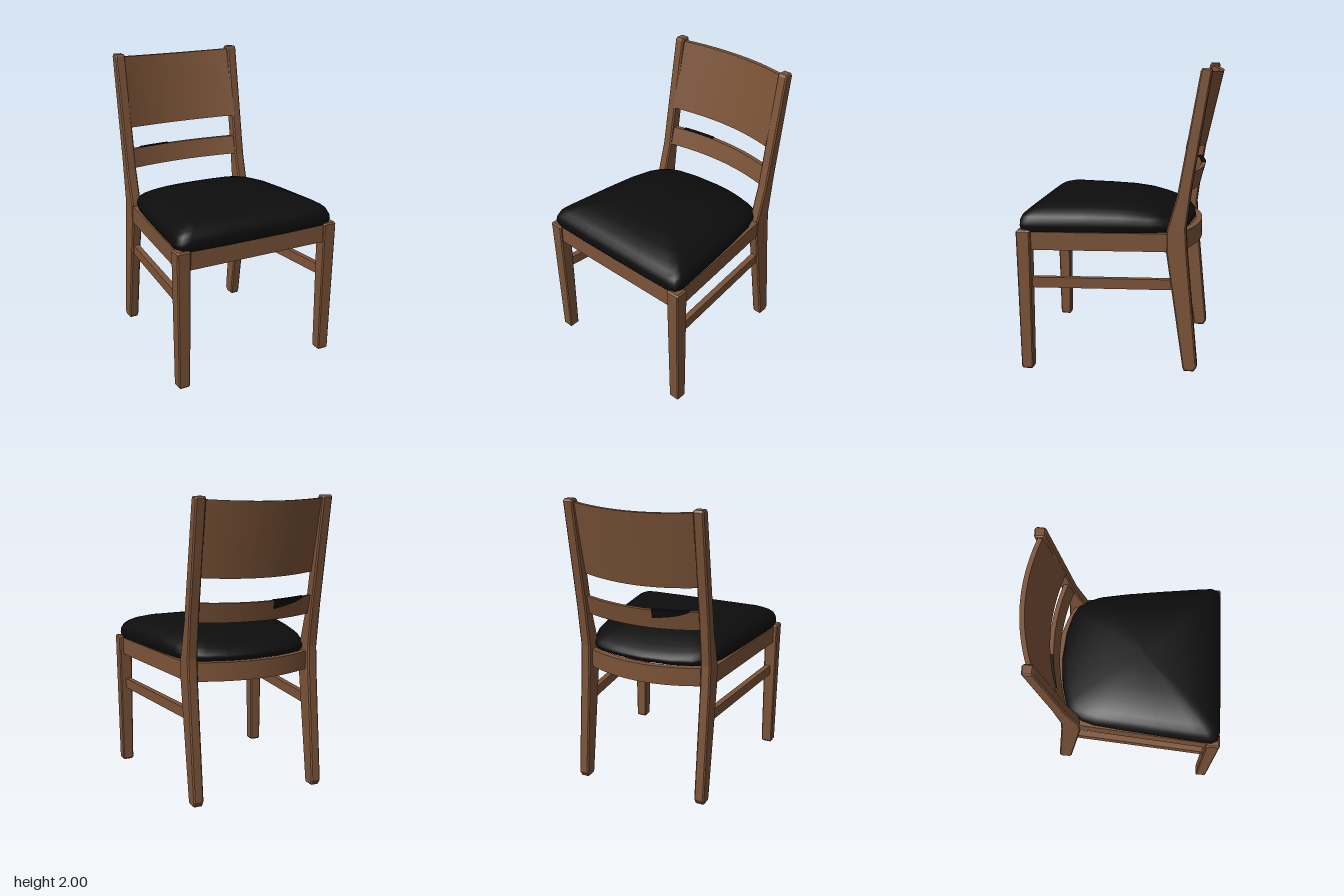
import * as THREE from 'three';

const wood = new THREE.MeshStandardMaterial({ color: 0x7b5337 });
wood.name = 'brown wood';
const fabric = new THREE.MeshStandardMaterial({ color: 0x0d0d0d });
fabric.name = 'black upholstery';

function add(group, name, geometry, material = wood) {
  const mesh = new THREE.Mesh(geometry, material);
  mesh.name = name;
  group.add(mesh);
  return mesh;
}

// Straight bar between two points at the same height
function bar(group, name, [x0, z0], [x1, z1], y, height, width) {
  const mesh = add(group, name, new THREE.BoxGeometry(width, height, Math.hypot(x1 - x0, z1 - z0)));
  mesh.position.set((x0 + x1) / 2, y, (z0 + z1) / 2);
  mesh.rotation.y = Math.atan2(x1 - x0, z1 - z0);
}

// Bows a box backwards along x, leans it by its height and lifts its ends
function bend(geometry, { y, z, halfWidth, bow, lean = 0, lift = 0 }) {
  const p = geometry.attributes.position;
  for (let i = 0; i < p.count; i++) {
    const k = (p.getX(i) / halfWidth) ** 2;
    p.setZ(i, p.getZ(i) + z + bow * k + lean * p.getY(i));
    p.setY(i, p.getY(i) + y + lift * k);
  }
  geometry.computeVertexNormals();
  return geometry;
}

// Square leg with eased edges, narrower at the foot
function frontLegGeometry() {
  const a = 0.0475, c = 0.008, e = 0.01, height = 0.96;
  const shape = new THREE.Shape([
    [a - c, -a], [a, c - a], [a, a - c], [a - c, a],
    [c - a, a], [-a, a - c], [-a, c - a], [c - a, -a],
  ].map(([x, y]) => new THREE.Vector2(x, y)));
  const g = new THREE.ExtrudeGeometry(shape, {
    depth: height - 2 * e, bevelThickness: e, bevelSize: e, bevelOffset: -e, bevelSegments: 1,
  });
  g.rotateX(-Math.PI / 2).translate(0, e, 0);
  const p = g.attributes.position;
  for (let i = 0; i < p.count; i++) {
    const t = p.getY(i) / height, s = 0.82 + 0.18 * t;
    p.setX(i, p.getX(i) * s);
    p.setZ(i, p.getZ(i) * s - 0.007 * (1 - t));
  }
  g.computeVertexNormals();
  return g;
}

// Back leg and back post cut as one angled profile, given as z, y
function backLegGeometry() {
  const e = 0.009, width = 0.07;
  const shape = new THREE.Shape([
    [-0.455, 0.008], [-0.52, 0.008], [-0.54, 0.04], [-0.465, 0.82], [-0.455, 0.98],
    [-0.49, 1.27], [-0.602, 1.985], [-0.594, 2], [-0.54, 2], [-0.53, 1.985],
    [-0.395, 1.2], [-0.328, 0.96], [-0.328, 0.82], [-0.445, 0.03],
  ].map(([z, y]) => new THREE.Vector2(z, y)));
  const g = new THREE.ExtrudeGeometry(shape, {
    depth: width - 2 * e, bevelThickness: e, bevelSize: e, bevelOffset: -e, bevelSegments: 1,
  });
  return g.rotateY(-Math.PI / 2).translate(width / 2 - e, 0, 0);
}

// Domed cushion: scaled rings of one outline, falling away to the back
function cushionGeometry() {
  const half = [
    [0, 0.643], [0.25, 0.643], [0.5, 0.64], [0.555, 0.625], [0.575, 0.58], [0.568, 0.5],
    [0.535, 0.2], [0.505, -0.05], [0.478, -0.23], [0.45, -0.31], [0.405, -0.385],
    [0.34, -0.425], [0.2, -0.462], [0, -0.48],
  ];
  const outline = half.concat(half.slice(1, -1).reverse().map(([x, z]) => [-x, z]));
  const rings = [
    [0.001, 0.94], [0.965, 0.94], [0.985, 0.955], [1, 0.985], [0.995, 1.015], [0.97, 1.045],
    [0.92, 1.07], [0.84, 1.095], [0.7, 1.12], [0.5, 1.138], [0.25, 1.148], [0.001, 1.15],
  ];
  const n = outline.length, positions = [], index = [], centre = 0.1;
  rings.forEach(([s, y], r) => {
    outline.forEach(([x, z0], i) => {
      const z = centre + (z0 - centre) * s;
      const t = Math.max(0, (centre - z) / 0.58);
      const top = y > 0.95 ? 0.95 + (y - 0.95) * (1 - 0.55 * t * t) : y;
      positions.push(x * s, top, z);
      if (r === 0) return;
      const j = (i + 1) % n, lo = (r - 1) * n, hi = r * n;
      index.push(lo + i, lo + j, hi + j, lo + i, hi + j, hi + i);
    });
  });
  const g = new THREE.BufferGeometry();
  g.setAttribute('position', new THREE.Float32BufferAttribute(positions, 3));
  g.setIndex(index);
  g.computeVertexNormals();
  return g;
}

export function createModel() {
  const chair = new THREE.Group();
  chair.name = 'diningChair';

  // Legs, side aprons and stretchers
  for (const [side, s] of [['left', 1], ['right', -1]]) {
    add(chair, side + 'FrontLeg', frontLegGeometry()).position.set(s * 0.547, 0, 0.597);
    add(chair, side + 'BackLeg', backLegGeometry()).position.x = s * 0.445;
    bar(chair, side + 'Apron', [s * 0.545, 0.57], [s * 0.45, -0.36], 0.885, 0.12, 0.045);
    bar(chair, side + 'Stretcher', [s * 0.535, 0.58], [s * 0.442, -0.4], 0.6, 0.07, 0.04);
  }

  // Front apron and bowed back apron
  bar(chair, 'frontApron', [-0.53, 0.605], [0.53, 0.605], 0.888, 0.124, 0.045);
  add(chair, 'backApron', bend(new THREE.BoxGeometry(0.86, 0.125, 0.045, 28, 1, 1),
    { y: 0.8825, z: -0.5, halfWidth: 0.43, bow: 0.11 }));

  // Backrest panel and lower rail
  add(chair, 'backPanel', bend(new THREE.BoxGeometry(0.84, 0.485, 0.03, 28, 1, 1),
    { y: 1.725, z: -0.583, halfWidth: 0.42, bow: 0.075, lean: -0.22, lift: 0.014 }));
  const rail = { y: 1.263, z: -0.505, halfWidth: 0.42, bow: 0.07, lean: -0.25, lift: 0.01 };
  add(chair, 'lowerRail', bend(new THREE.BoxGeometry(0.84, 0.13, 0.03, 28, 1, 1), rail));

  // Dark patch on the top and back of the lower rail
  const top = new THREE.BoxGeometry(0.24, 0.006, 0.03, 8, 1, 1).translate(-0.22, 0.067, 0);
  add(chair, 'railTopPatch', bend(top, rail), fabric);
  const back = new THREE.BoxGeometry(0.24, 0.06, 0.004, 8, 1, 1).translate(-0.22, 0, -0.016);
  const p = back.attributes.position;
  for (let i = 0; i < p.count; i++) {
    const depth = 0.06 * Math.sqrt(Math.max(0.02, (p.getX(i) + 0.34) / 0.24));
    p.setY(i, p.getY(i) > 0 ? 0.068 : 0.068 - depth);
  }
  add(chair, 'railBackPatch', bend(back, rail), fabric);

  add(chair, 'seatCushion', cushionGeometry(), fabric);
  return chair;
}
